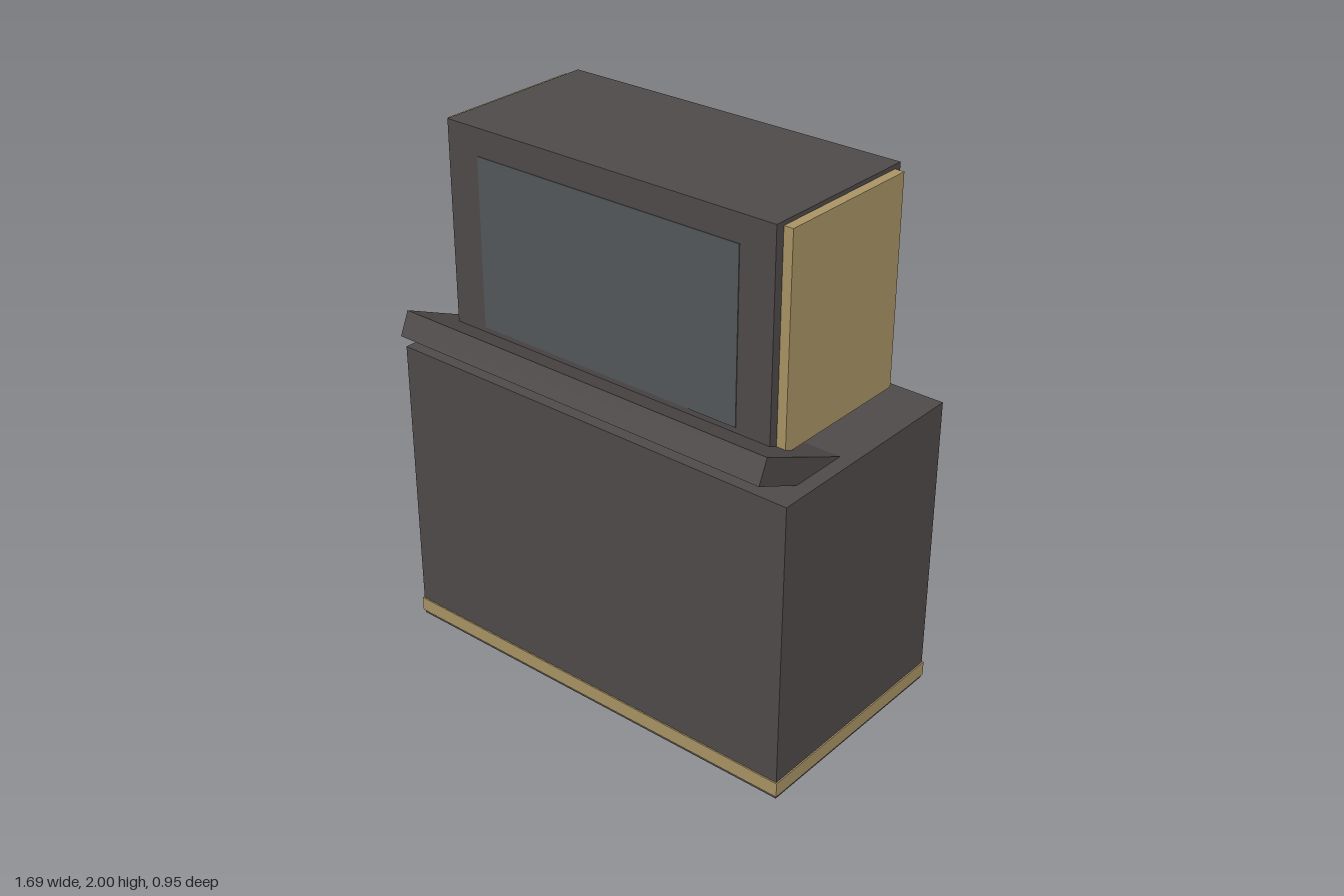
import * as THREE from 'three';

const dark = new THREE.MeshStandardMaterial({ color: 0x504b4a });
const tan = new THREE.MeshStandardMaterial({ color: 0xab9666 });
const glass = new THREE.MeshStandardMaterial({ color: 0x54595b });

// Box given by its lower and upper corners
function block(name, material, [x0, y0, z0], [x1, y1, z1]) {
  const mesh = new THREE.Mesh(new THREE.BoxGeometry(x1 - x0, y1 - y0, z1 - z0), material);
  mesh.position.set((x0 + x1) / 2, (y0 + y1) / 2, (z0 + z1) / 2);
  mesh.name = name;
  return mesh;
}

export function createModel() {
  const model = new THREE.Group();
  model.name = 'console';

  // Cabinet with a trim band round its foot
  model.add(block('cabinet', dark, [-0.84, 0, -0.47], [0.84, 1.143, 0.405]));
  model.add(block('baseTrim', tan, [-0.845, 0.012, -0.475], [0.845, 0.068, 0.41]));

  // Monitor housing, floating just above the cabinet
  model.add(block('monitor', dark, [-0.685, 1.205, -0.355], [0.685, 2, 0.29]));
  model.add(block('screen', glass, [-0.55, 1.27, 0.28], [0.55, 1.9, 0.293]));

  // Monitor side panels
  for (const [name, s] of [['leftSidePanel', 1], ['rightSidePanel', -1]]) {
    const panel = block(name, tan, [-0.02, 1.22, -0.325], [0.02, 1.985, 0.255]);
    panel.position.x = s * 0.7;
    model.add(panel);
  }

  // Sloping control panel, its back edge sunk into the cabinet
  const geometry = new THREE.BoxGeometry(1.57, 0.094, 0.48);
  geometry.translate(0, -0.047, -0.24);
  const controls = new THREE.Mesh(geometry, dark);
  controls.name = 'controlPanel';
  controls.position.set(0, 1.315, 0.437);
  controls.rotation.x = -0.415;
  model.add(controls);

  return model;
}
